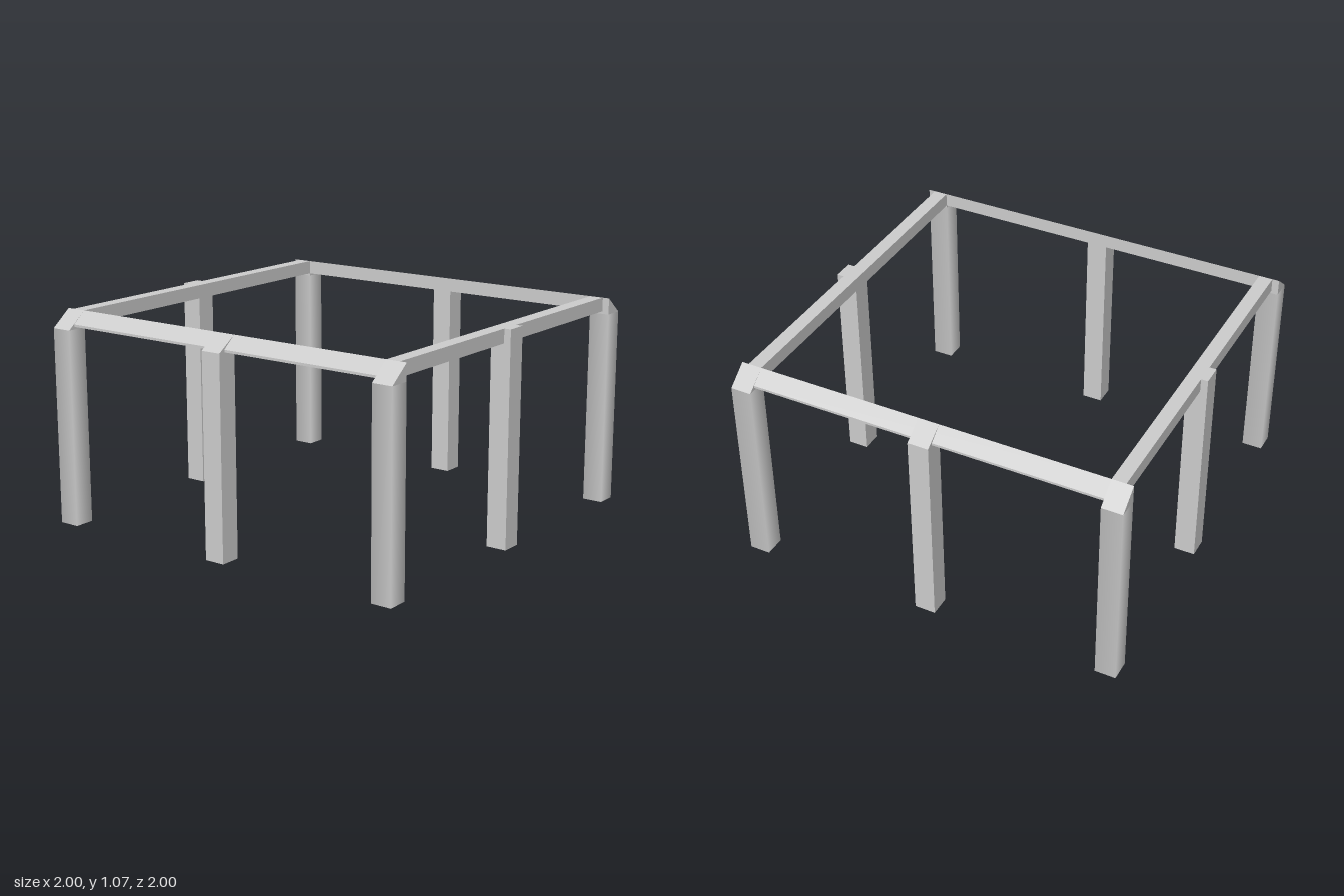
import * as THREE from 'three';

const IN = 0.895;      // inner face of posts and rails
const RAIL = 0.965;    // outer face of rails
const TOP = 1.07;      // top of the frame
const MID = (IN + 1) / 2;
const W = 1 - IN;      // post width

const material = new THREE.MeshStandardMaterial({ color: 0xcccccc });
const openMaterial = new THREE.MeshStandardMaterial({ color: 0xcccccc, side: THREE.DoubleSide });

// Extrudes a [z, y] outline along x, centred on x = 0.
function prism(outline, width) {
  const shape = new THREE.Shape(outline.map(([z, y]) => new THREE.Vector2(z, y)));
  const geo = new THREE.ExtrudeGeometry(shape, { depth: width, bevelEnabled: false });
  return geo.translate(0, 0, -width / 2).rotateY(-Math.PI / 2);
}

// Removes the triangles lying on the ground, leaving the tube open below.
function openBottom(geo) {
  const p = geo.attributes.position;
  const kept = [];
  for (let i = 0; i < p.count; i += 3) {
    if (Math.max(p.getY(i), p.getY(i + 1), p.getY(i + 2)) < 1e-4) continue;
    for (let k = i; k < i + 3; k++) kept.push(k);
  }
  geo.setIndex(kept);
  geo.clearGroups();
  return geo;
}

function add(parent, name, geo, mat = material, x = 0, y = 0, z = 0) {
  const mesh = new THREE.Mesh(geo, mat);
  mesh.name = name;
  mesh.position.set(x, y, z);
  parent.add(mesh);
  return mesh;
}

// Corner post: square shaft with softened shading and a sloped cap.
function cornerPost(x) {
  const post = new THREE.Group();
  post.name = 'cornerPost';
  const h = 0.987, r = W / Math.SQRT2;
  const shaft = new THREE.CylinderGeometry(r, r, h, 4, 1, true, Math.PI / 4);
  add(post, 'postShaft', shaft, openMaterial, x, h / 2, MID);
  add(post, 'postCap', prism([[IN, h], [1, h], [IN, TOP]], W), material, x);
  return post;
}

// Half of the frame: one sloped end rail with its posts, and one side rail.
function halfFrame(name) {
  const half = new THREE.Group();
  half.name = name;

  for (const s of [-1, 1]) half.add(cornerPost(s * MID));

  // End rail with a sloped top, and its middle leg
  add(half, 'endRail', prism([[IN, 1], [RAIL, 1], [RAIL, 1.012], [IN, TOP]], 2 * IN));
  add(half, 'endMiddleLeg',
    openBottom(prism([[IN, 0], [1, 0], [1, 1], [IN, TOP]], W)), openMaterial);

  // Square side rail and its flat-topped middle leg
  add(half, 'sideRail', new THREE.BoxGeometry(RAIL - IN, TOP - 1, 2 * IN), material,
    (IN + RAIL) / 2, (1 + TOP) / 2, 0);
  add(half, 'sideMiddleLeg',
    openBottom(prism([[-W / 2, 0], [W / 2, 0], [W / 2, TOP], [-W / 2, TOP]], W)),
    openMaterial, MID);
  return half;
}

export function createModel() {
  const model = new THREE.Group();
  model.name = 'tableFrame';
  const back = halfFrame('backAndRightFrame');
  back.rotation.y = Math.PI;
  model.add(halfFrame('frontAndLeftFrame'), back);
  return model;
}
